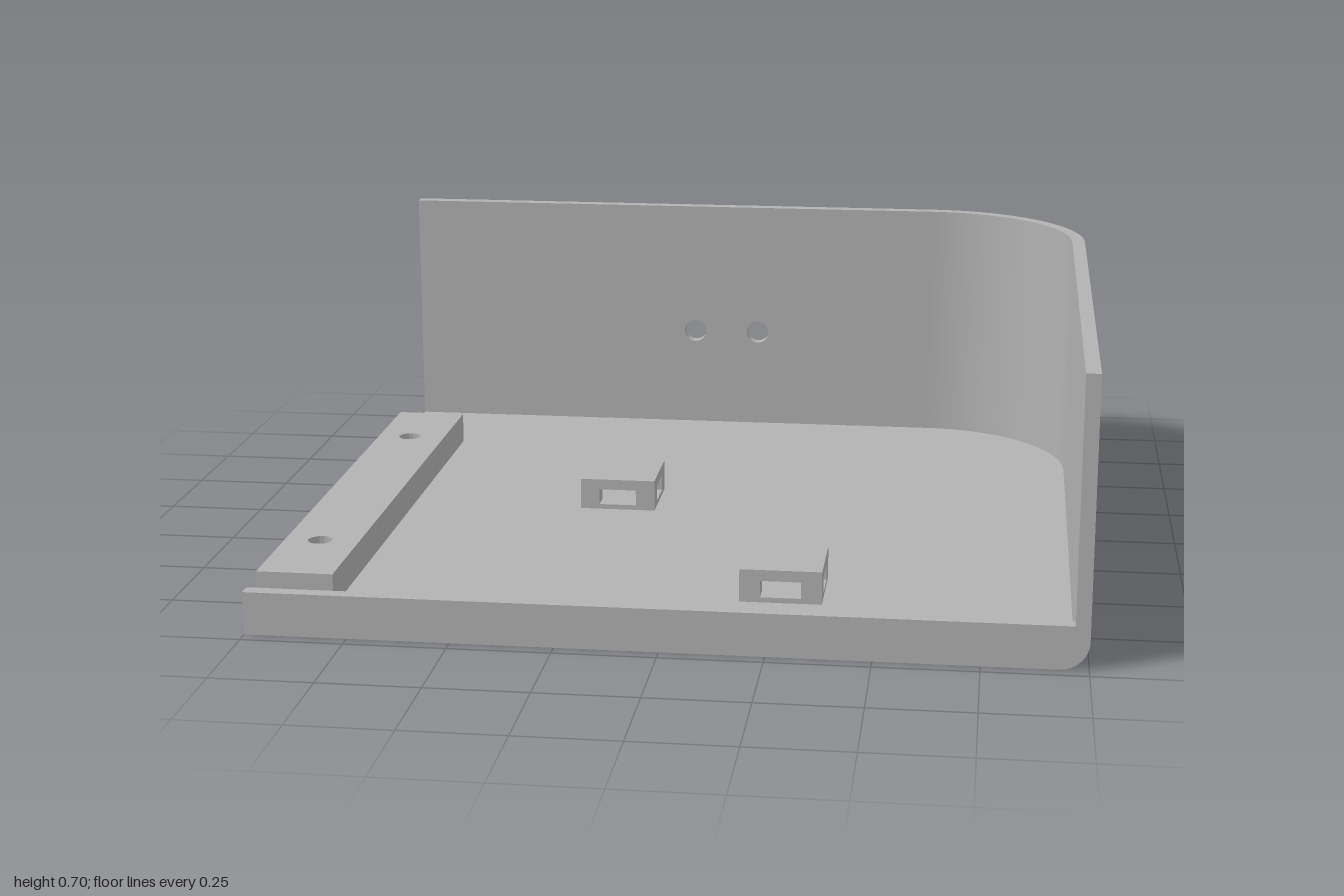
import * as THREE from 'three';
import { toCreasedNormals } from 'three/addons/utils/BufferGeometryUtils.js';

const ZE = 0.965;      // half depth
const TOP = 0.705;     // wall height
const WALL = 0.035;    // wall thickness
const FLOOR = 0.037;   // floor thickness
const FILLET = 0.07;   // rounded lower edge
const R = 0.44;        // plan corner radius

// Wall path: stations with position and inward direction (x, z)
function stations(withBack) {
  const list = withBack ? [{ x: -1, z: -ZE, nx: 0, nz: 1 }] : [];
  const n = 32;
  for (let i = 0; i <= n; i++) {
    const a = (i / n) * Math.PI / 2, s = Math.sin(a), c = Math.cos(a);
    list.push({ x: 1 - R + R * s, z: -ZE + R - R * c, nx: -s, nz: c });
  }
  list.push({ x: 1, z: ZE, nx: -1, nz: 0 });
  return list;
}

// Sweep a counterclockwise section (inset, height) along the stations, capped
function sweep(section, path) {
  const pos = [];
  const put = (s, p) => pos.push(s.x + s.nx * p.x, p.y, s.z + s.nz * p.x);
  for (let k = 0; k < path.length - 1; k++) {
    const s = path[k], t = path[k + 1];
    section.forEach((p, i) => {
      const q = section[(i + 1) % section.length];
      put(s, p); put(t, p); put(t, q);
      put(s, p); put(t, q); put(s, q);
    });
  }
  const end = path[path.length - 1];
  for (const [a, b, c] of THREE.ShapeUtils.triangulateShape(section, [])) {
    [a, b, c].forEach(i => put(path[0], section[i]));
    [c, b, a].forEach(i => put(end, section[i]));
  }
  const g = new THREE.BufferGeometry();
  g.setAttribute('position', new THREE.Float32BufferAttribute(pos, 3));
  return toCreasedNormals(g, 0.5);
}

function rectShape(x0, y0, x1, y1) {
  const s = new THREE.Shape();
  s.moveTo(x0, y0).lineTo(x1, y0).lineTo(x1, y1).lineTo(x0, y1).closePath();
  return s;
}

function addHole(shape, x, y, r) {
  shape.holes.push(new THREE.Path().absarc(x, y, r, 0, Math.PI * 2, true));
}

function extrude(shape, depth) {
  const g = new THREE.ExtrudeGeometry(shape, { depth, bevelEnabled: false, curveSegments: 32 });
  return toCreasedNormals(g, 0.5);
}

export function createModel() {
  const model = new THREE.Group();
  model.name = 'openEnclosure';
  const grey = new THREE.MeshStandardMaterial({ color: 0xb2b2b2 });
  grey.name = 'grey plastic';

  const add = (name, geometry, parent = model) => {
    const m = new THREE.Mesh(geometry, grey);
    m.name = name;
    parent.add(m);
    return m;
  };
  const box = (name, x0, x1, y0, y1, z0, z1, parent) => {
    const m = add(name, new THREE.BoxGeometry(x1 - x0, y1 - y0, z1 - z0), parent);
    m.position.set((x0 + x1) / 2, (y0 + y1) / 2, (z0 + z1) / 2);
    return m;
  };

  // Rounded lower rim
  const rim = [];
  for (let i = 0; i <= 12; i++) {
    const a = (i / 12) * Math.PI / 2;
    rim.push(new THREE.Vector2(FILLET * (1 - Math.cos(a)), FILLET * (1 - Math.sin(a))));
  }
  rim.push(new THREE.Vector2(FILLET, FLOOR), new THREE.Vector2(WALL, FLOOR), new THREE.Vector2(WALL, FILLET));
  add('lowerRim', sweep(rim, stations(true)));

  // Curved corner and side wall
  const wall = [[0, FILLET], [WALL, FILLET], [WALL, TOP], [0, TOP]].map(p => new THREE.Vector2(...p));
  add('cornerAndSideWall', sweep(wall, stations(false)));

  // Back wall with two cable holes
  const back = rectShape(-1, FILLET, 1 - R, TOP);
  for (const x of [-0.15, 0.04]) addHole(back, x, 0.322, 0.033);
  add('backWall', extrude(back, WALL)).position.z = -ZE;

  // Floor plate inside the rim (shape y is -z)
  const fx = 1 - FILLET, fz = ZE - FILLET, fr = R - FILLET;
  const plan = new THREE.Shape();
  plan.moveTo(-1, -ZE).lineTo(fx, -ZE).lineTo(fx, fz - fr);
  plan.absarc(fx - fr, fz - fr, fr, 0, Math.PI / 2, false);
  plan.lineTo(-1, fz).closePath();
  add('floor', extrude(plan, FLOOR)).rotation.x = -Math.PI / 2;

  // Low front lip
  box('frontLip', -1, 1 - WALL, FLOOR, 0.107, ZE - WALL, ZE);

  // Mounting strip with two blind screw holes
  const top = 0.12;
  const strip = rectShape(-1, -0.85, -0.81, 0.62);
  for (const z of [-0.365, 0.595]) addHole(strip, -0.91, -z, 0.031);
  const stripMesh = add('mountingStrip', extrude(strip, top - FLOOR));
  stripMesh.rotation.x = -Math.PI / 2;
  stripMesh.position.y = FLOOR;

  // Cable tie blocks with crossing slots
  const h = 0.101, slot = 0.05;
  for (const [x, z] of [[-0.248, -0.107], [0.262, 0.593]]) {
    const block = new THREE.Group();
    block.name = 'cableTieBlock';
    block.position.set(x, 0, z);
    box('blockBase', -h, h, FLOOR, 0.05, -h, h, block);
    box('blockCap', -h, h, 0.092, top, -h, h, block);
    for (const sx of [-1, 1]) for (const sz of [-1, 1]) {
      const w = h - slot, c = (h + slot) / 2;
      box('blockPost', sx * c - w / 2, sx * c + w / 2, 0.05, 0.092, sz * c - w / 2, sz * c + w / 2, block);
    }
    model.add(block);
  }
  return model;
}
